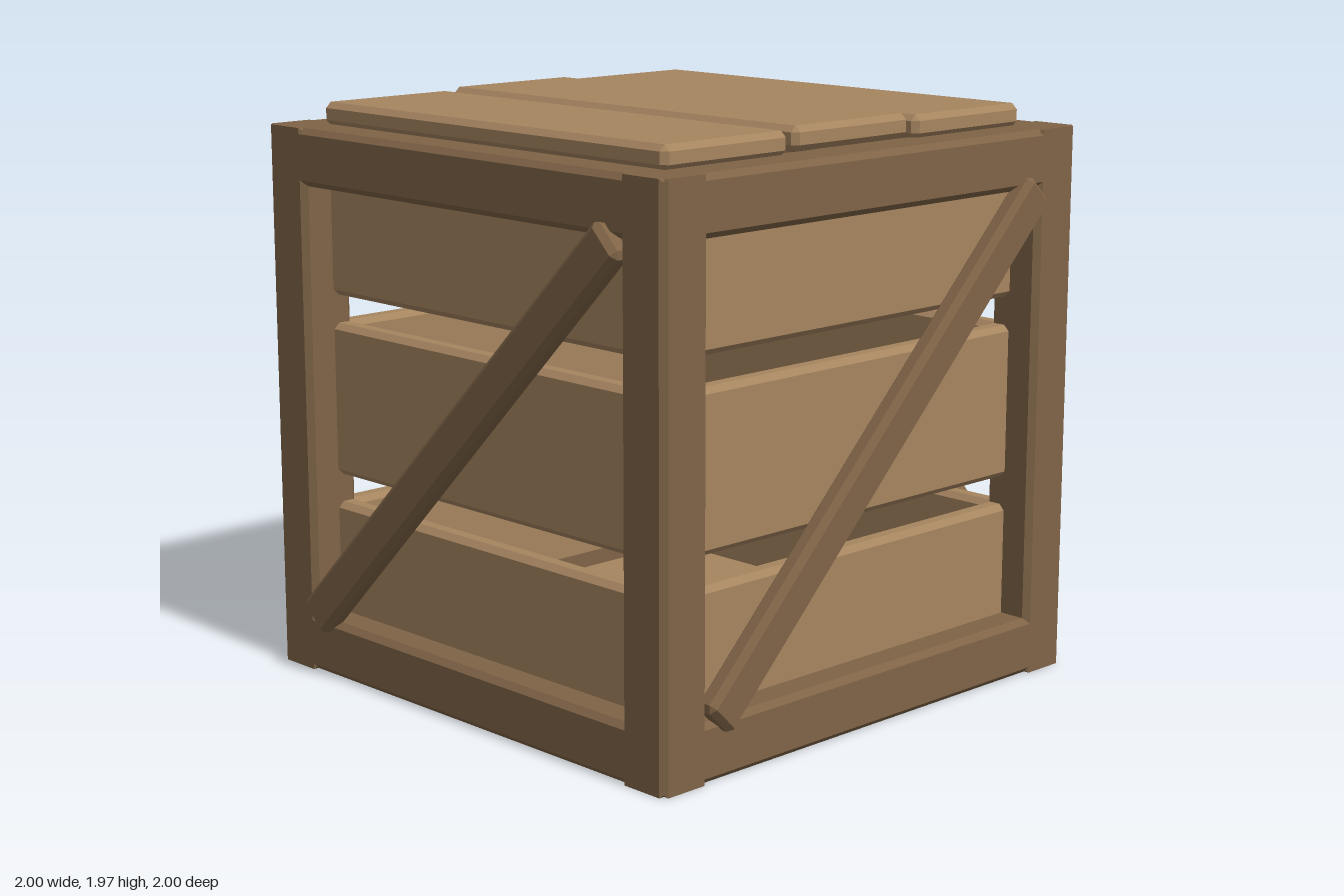
import * as THREE from 'three';
import { ConvexGeometry } from 'three/addons/geometries/ConvexGeometry.js';

const CHAMFER = 0.02;

// Box with every edge cut at 45 degrees
function chamferedBox(w, h, d, c = CHAMFER) {
  const pts = [];
  for (const sx of [-1, 1]) for (const sy of [-1, 1]) for (const sz of [-1, 1]) {
    for (let axis = 0; axis < 3; axis++) {
      const inset = [c, c, c];
      inset[axis] = 0;
      pts.push(new THREE.Vector3(
        sx * (w / 2 - inset[0]), sy * (h / 2 - inset[1]), sz * (d / 2 - inset[2])));
    }
  }
  return new ConvexGeometry(pts);
}

// Rectangular frame with a chamfered opening, standing on y = 0
function frameGeometry() {
  const rect = (Type, x, y0, y1) => {
    const p = new Type();
    p.moveTo(-x, y0);
    p.lineTo(x, y0);
    p.lineTo(x, y1);
    p.lineTo(-x, y1);
    p.closePath();
    return p;
  };
  const shape = rect(THREE.Shape, 0.963, 0, 1.885);
  shape.holes.push(rect(THREE.Path, 0.77, 0.197, 1.69));
  const depth = 0.193;
  const geo = new THREE.ExtrudeGeometry(shape, {
    depth: depth - 2 * CHAMFER, bevelEnabled: true, bevelSegments: 1,
    bevelSize: CHAMFER, bevelThickness: CHAMFER, bevelOffset: -CHAMFER,
  });
  return geo.translate(0, 0, 0.963 - depth + CHAMFER);
}

export function createModel() {
  const plankWood = new THREE.MeshStandardMaterial({ color: 0xa68560 });
  plankWood.name = 'light plank wood';
  const frameWood = new THREE.MeshStandardMaterial({ color: 0x7f6447 });
  frameWood.name = 'dark frame wood';

  const crate = new THREE.Group();
  crate.name = 'crate';
  const add = (parent, name, geo, mat, x, y, z) => {
    const mesh = new THREE.Mesh(geo, mat);
    mesh.name = name;
    mesh.position.set(x, y, z);
    parent.add(mesh);
    return mesh;
  };

  const frame = frameGeometry();
  const sidePlank = chamferedBox(1.66, 0.53, 0.08);
  const brace = chamferedBox(2.12, 0.145, 0.08);

  // Four identical sides: frame, three planks with gaps, diagonal brace
  ['front', 'left', 'back', 'right'].forEach((side, i) => {
    const group = new THREE.Group();
    group.name = side + 'Side';
    group.rotation.y = i * Math.PI / 2;
    add(group, side + 'Frame', frame, frameWood, 0, 0, 0);
    for (const y of [0.318, 0.946, 1.574]) {
      add(group, side + 'Plank', sidePlank, plankWood, 0, y, 0.81);
    }
    add(group, side + 'Brace', brace, frameWood, 0, 0.946, 0.96).rotation.z = Math.PI / 4;
    crate.add(group);
  });

  // Lid planks, the middle one slightly raised
  const lidPlank = chamferedBox(0.535, 0.08, 1.66);
  for (const [x, y] of [[-0.563, 1.92], [-0.003, 1.93], [0.56, 1.92]]) {
    add(crate, 'lidPlank', lidPlank, plankWood, x, y, 0);
  }

  // Floor panel, recessed into the bottom opening
  add(crate, 'floorPanel', new THREE.BoxGeometry(1.66, 0.08, 1.66), plankWood, 0, 0.08, 0);

  return crate;
}
